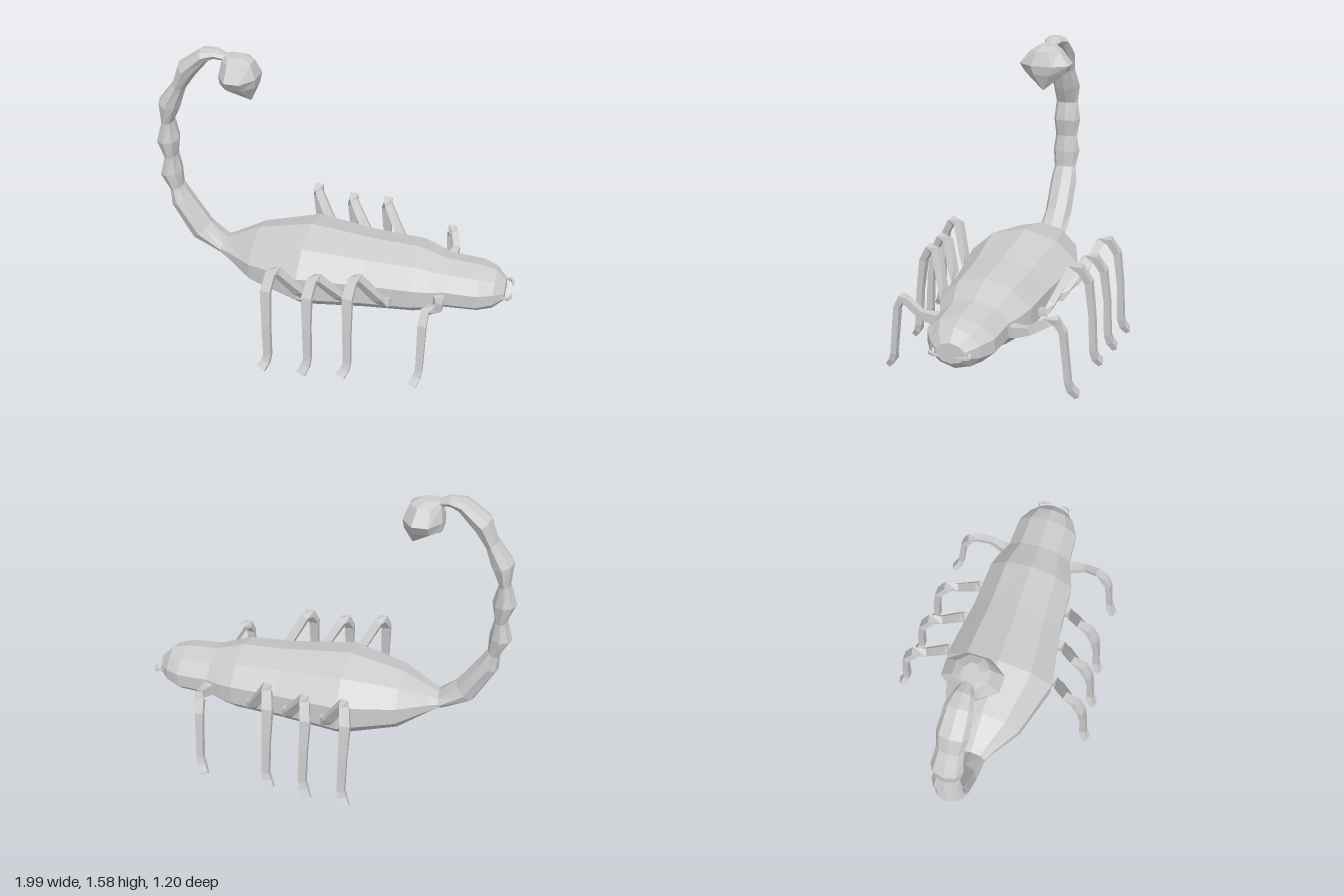
import * as THREE from 'three';

const V = (x, y, z) => new THREE.Vector3(x, y, z);
const material = new THREE.MeshStandardMaterial({ color: 0xcccccc, flatShading: true, side: THREE.DoubleSide });

// Skin a row of rings (each counterclockwise about the direction of travel) and close both ends.
function loft(name, rings) {
  const pos = [];
  const tri = (...pts) => pts.forEach((p) => pos.push(p.x, p.y, p.z));
  const n = rings[0].length;
  const centre = (ring) => ring.reduce((s, p) => s.add(p), V(0, 0, 0)).divideScalar(n);
  for (let r = 0; r < rings.length - 1; r++) {
    const a = rings[r], b = rings[r + 1];
    for (let i = 0; i < n; i++) {
      const j = (i + 1) % n;
      tri(a[i], a[j], b[j]);
      tri(a[i], b[j], b[i]);
    }
  }
  const first = rings[0], last = rings[rings.length - 1];
  const c0 = centre(first), c1 = centre(last);
  for (let i = 0; i < n; i++) {
    const j = (i + 1) % n;
    tri(c0, first[j], first[i]);
    tri(c1, last[i], last[j]);
  }
  const geo = new THREE.BufferGeometry();
  geo.setAttribute('position', new THREE.Float32BufferAttribute(pos, 3));
  geo.computeVertexNormals();
  const mesh = new THREE.Mesh(geo, material);
  mesh.name = name;
  return mesh;
}

// Ellipse of given sides around c, spanned by u (radius a) and v (radius b).
function ellipse(c, u, v, a, b, sides, turn = 0) {
  return Array.from({ length: sides }, (_, i) => {
    const t = turn + (i / sides) * Math.PI * 2;
    return c.clone().addScaledVector(u, Math.cos(t) * a).addScaledVector(v, Math.sin(t) * b);
  });
}

const tangent = (pts, i) =>
  pts[Math.min(i + 1, pts.length - 1)].clone().sub(pts[Math.max(i - 1, 0)]).normalize();

// Ten-sided body sections: x, top, bottom, half width.
function makeBody() {
  const half = [[0, 1], [0.61, 0.89], [1, 0.64], [1, 0.35], [0.61, 0.11], [0, 0]];
  const section = [...half, ...half.slice(1, 5).reverse().map(([w, h]) => [-w, h])];
  const stations = [
    [-0.64, 0.435, 0.355, 0.085], [-0.59, 0.455, 0.325, 0.11], [-0.43, 0.535, 0.22, 0.215],
    [-0.13, 0.605, 0.15, 0.31], [0.22, 0.57, 0.18, 0.26], [0.48, 0.56, 0.2, 0.245],
    [0.56, 0.535, 0.215, 0.22], [0.64, 0.51, 0.24, 0.185], [0.82, 0.5, 0.25, 0.175],
    [0.9, 0.48, 0.265, 0.13], [0.955, 0.425, 0.315, 0.075],
  ];
  return loft('body', stations.map(([x, top, bottom, w]) =>
    section.map(([sz, sy]) => V(x, bottom + (top - bottom) * sy, sz * w))));
}

// Segmented tail: x, y, half thickness, half width, alternately wide and pinched.
function makeTail() {
  const stations = [
    [-0.64, 0.395, 0.04, 0.085], [-0.77, 0.475, 0.07, 0.08], [-0.885, 0.66, 0.058, 0.08],
    [-0.905, 0.735, 0.035, 0.066], [-0.932, 0.83, 0.06, 0.082], [-0.925, 0.93, 0.033, 0.066],
    [-0.935, 1.03, 0.062, 0.082], [-0.928, 1.14, 0.03, 0.066], [-0.91, 1.245, 0.06, 0.082],
    [-0.845, 1.36, 0.037, 0.068], [-0.795, 1.46, 0.055, 0.08], [-0.69, 1.55, 0.037, 0.07],
    [-0.63, 1.56, 0.025, 0.05], [-0.57, 1.545, 0.018, 0.03],
  ];
  const pts = stations.map(([x, y]) => V(x, y, 0));
  const side = V(0, 0, 1);
  return loft('tail', stations.map(([, , a, b], i) =>
    ellipse(pts[i], side.clone().cross(tangent(pts, i)), side, a, b, 8)));
}

// Stinger bulb, from its top down to the point: x, y, x radius, z radius.
function makeStinger() {
  const stations = [
    [-0.53, 1.56, 0.06, 0.045], [-0.51, 1.535, 0.085, 0.09], [-0.502, 1.46, 0.108, 0.155],
    [-0.505, 1.41, 0.104, 0.118], [-0.45, 1.32, 0.005, 0.005],
  ];
  return loft('stinger', stations.map(([x, y, a, b]) =>
    ellipse(V(x, y, 0), V(1, 0, 0), V(0, 0, 1), a, b, 8, Math.PI / 8)));
}

// Four-sided limb along a path of [x, y, z, half size in x, half size across].
function makeLimb(name, path, sign) {
  const pts = path.map(([x, y, z]) => V(x, y, z * sign));
  return loft(name, path.map(([, , , a, b], i) => {
    const t = tangent(pts, i);
    const u = V(1, 0, 0).addScaledVector(t, -t.x).normalize();
    return ellipse(pts[i], u, t.clone().cross(u), a * Math.SQRT2, b * Math.SQRT2, 4, Math.PI / 4);
  }));
}

export function createModel() {
  const model = new THREE.Group();
  model.name = 'scorpion';
  model.add(makeBody(), makeTail(), makeStinger());

  // Rear legs share one bent path; x is the hip, dz narrows the stance.
  const rearLeg = (x, dz, dy) => [
    [x + 0.01, 0.36, 0.22, 0.03, 0.02], [x, 0.36, 0.325 - dz, 0.026, 0.02],
    [x - 0.03, 0.4, 0.35 - dz, 0.026, 0.018], [x - 0.125, 0.56 - dy, 0.42 - dz, 0.022, 0.022],
    [x - 0.14, 0.565 - dy, 0.465 - dz, 0.025, 0.02], [x - 0.155, 0.49 - dy, 0.51 - dz, 0.027, 0.018],
    [x - 0.15, 0.3, 0.535 - dz, 0.022, 0.016], [x - 0.145, 0.1, 0.545 - dz, 0.02, 0.018],
    [x - 0.155, 0.06, 0.555 - dz, 0.024, 0.018], [x - 0.175, 0.025 - dy * 0.4, 0.58 - dz, 0.025, 0.014],
  ];
  // Front leg is shorter and lower at the knee.
  const frontLeg = [
    [0.61, 0.37, 0.14, 0.035, 0.035], [0.63, 0.37, 0.22, 0.025, 0.028],
    [0.64, 0.39, 0.29, 0.018, 0.02], [0.615, 0.435, 0.37, 0.02, 0.02],
    [0.59, 0.44, 0.41, 0.022, 0.02], [0.585, 0.38, 0.445, 0.022, 0.016],
    [0.585, 0.11, 0.475, 0.018, 0.016], [0.575, 0.07, 0.485, 0.022, 0.018],
    [0.555, 0.03, 0.515, 0.024, 0.014],
  ];
  // Curved mouth fangs.
  const fang = [
    [0.935, 0.37, 0.09, 0.012, 0.008], [0.975, 0.37, 0.095, 0.01, 0.008],
    [0.99, 0.37, 0.07, 0.007, 0.006], [0.995, 0.37, 0.035, 0.002, 0.002],
  ];

  for (const [label, sign] of [['right', -1], ['left', 1]]) {
    const legs = new THREE.Group();
    legs.name = `${label}SideLegs`;
    legs.add(
      makeLimb('hindLeg', rearLeg(-0.075, 0, 0), sign),
      makeLimb('rearMiddleLeg', rearLeg(0.14, 0.02, 0.02), sign),
      makeLimb('frontMiddleLeg', rearLeg(0.35, 0.045, 0), sign),
      makeLimb('frontLeg', frontLeg, sign),
    );
    model.add(legs, makeLimb(`${label}Fang`, fang, sign));
  }
  return model;
}
